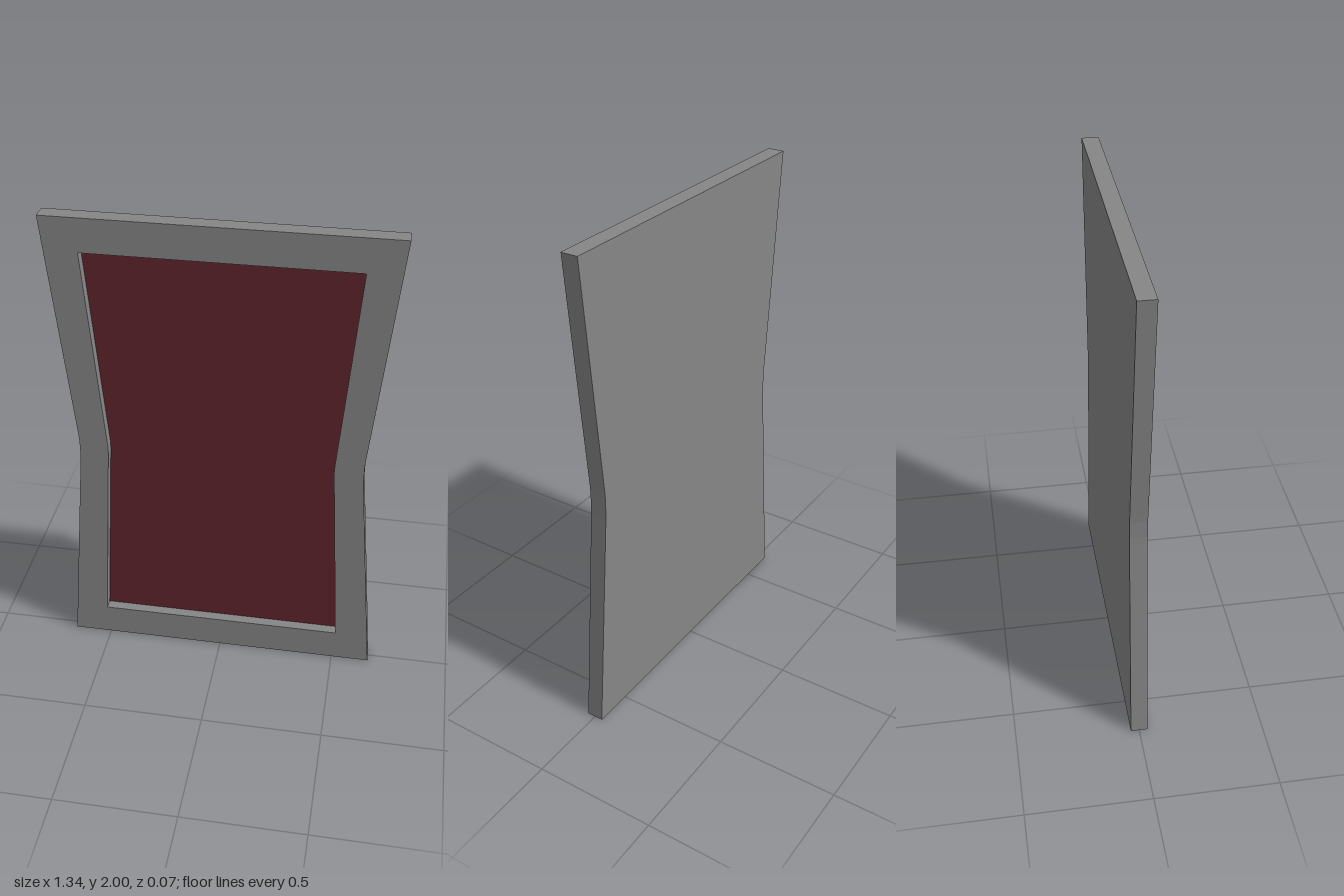
import * as THREE from 'three';

// Right half of each outline from bottom to top; the left half mirrors it
const OUTER = [[0.66, 0], [0.58, 0.93], [0.578, 0.96], [0.578, 1.03], [0.58, 1.06], [0.672, 2]];
const INNER = [[0.511, 0.14], [0.462, 0.95], [0.46, 0.98], [0.46, 1.01], [0.462, 1.04], [0.527, 1.863]];
const HALF_DEPTH = 0.034;
const PANEL_Z = -0.008; // front face of the recessed panel

function mirrored(half) {
  const right = half.map(([x, y]) => new THREE.Vector2(x, y));
  const left = half.map(([x, y]) => new THREE.Vector2(-x, y)).reverse();
  return [...right, ...left];
}

function slab(name, shape, back, front, material) {
  const geometry = new THREE.ExtrudeGeometry(shape, { depth: front - back, bevelEnabled: false });
  geometry.translate(0, 0, back);
  const mesh = new THREE.Mesh(geometry, material);
  mesh.name = name;
  return mesh;
}

export function createModel() {
  const grey = new THREE.MeshStandardMaterial({ color: 0x868686, flatShading: true });
  const red = new THREE.MeshStandardMaterial({ color: 0x61252f, flatShading: true });
  const group = new THREE.Group();
  group.name = 'waistedFramedPanel';

  // Raised border around the recess
  const border = new THREE.Shape(mirrored(OUTER));
  border.holes.push(new THREE.Path(mirrored(INNER)));
  group.add(slab('frame', border, -HALF_DEPTH, HALF_DEPTH, grey));

  // Grey back closing the opening, flush with the frame
  const opening = new THREE.Shape(mirrored(INNER));
  group.add(slab('backing', opening, -HALF_DEPTH, PANEL_Z - 0.002, grey));

  // Coloured face at the bottom of the recess
  const face = new THREE.Mesh(new THREE.ShapeGeometry(opening), red);
  face.name = 'insetPanel';
  face.position.z = PANEL_Z;
  group.add(face);

  return group;
}
